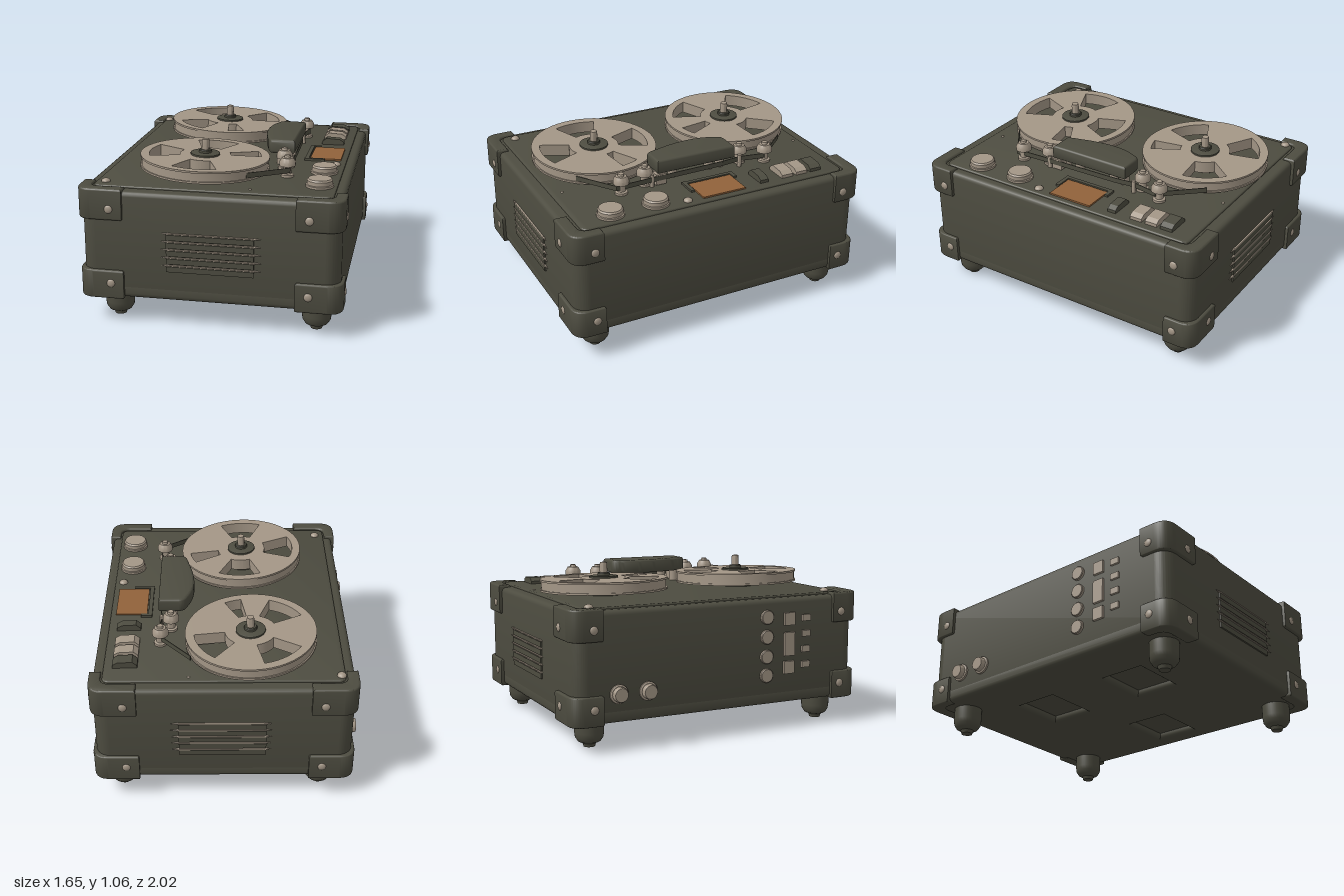
import * as THREE from 'three';
import { toCreasedNormals } from 'three/addons/utils/BufferGeometryUtils.js';

const mat = (name, color) => Object.assign(new THREE.MeshStandardMaterial({ color }), { name });

export function createModel() {
  const model = new THREE.Group();
  model.name = 'reelTapeRecorder';
  const olive = mat('olive', 0x4d4c40);
  const cream = mat('cream', 0xa39686);
  const amber = mat('amber', 0x91623a);
  const DECK = 0.855;

  const add = (name, geo, material, x = 0, y = 0, z = 0, parent = model) => {
    const mesh = new THREE.Mesh(geo, material);
    mesh.name = name;
    mesh.position.set(x, y, z);
    parent.add(mesh);
    return mesh;
  };
  const box = (name, m, w, h, d, x, y, z) => add(name, new THREE.BoxGeometry(w, h, d), m, x, y, z);

  // Plan outline (x, z) raised between two heights
  const slab = (shape, y0, y1, b = 0) => {
    const geo = new THREE.ExtrudeGeometry(shape, {
      depth: y1 - y0 - 2 * b, bevelEnabled: b > 0, bevelThickness: b, bevelSize: b,
      bevelOffset: -b, bevelSegments: 4, curveSegments: 24,
    });
    geo.rotateX(Math.PI / 2).translate(0, y1 - b, 0);
    return toCreasedNormals(geo, 0.6);
  };
  const roundRect = (w, d, r) => {
    const s = new THREE.Shape();
    s.absarc(w - r, d - r, r, 0, Math.PI / 2);
    s.absarc(r - w, d - r, r, Math.PI / 2, Math.PI);
    s.absarc(r - w, r - d, r, Math.PI, Math.PI * 1.5);
    s.absarc(w - r, r - d, r, Math.PI * 1.5, Math.PI * 2);
    return s;
  };
  const lathe = (pts, seg = 32) =>
    toCreasedNormals(new THREE.LatheGeometry(pts.map((p) => new THREE.Vector2(...p)), seg), 0.6);
  const knob = (r, h) => lathe([[0, 0], [r, 0], [r, h * 0.8], [r * 0.9, h], [0, h]]);

  // Case: base pan with three rectangular recesses, main body, deck plate
  const pan = roundRect(0.785, 0.98, 0.09);
  for (const [x, z] of [[0.47, 0], [-0.25, -0.36], [-0.25, 0.36]]) {
    const hole = new THREE.Path();
    hole.moveTo(x - 0.17, z - 0.14);
    hole.lineTo(x - 0.17, z + 0.14);
    hole.lineTo(x + 0.17, z + 0.14);
    hole.lineTo(x + 0.17, z - 0.14);
    hole.closePath();
    pan.holes.push(hole);
  }
  add('basePan', slab(pan, 0.17, 0.27, 0.03), olive);
  add('caseBody', slab(roundRect(0.785, 0.98, 0.09), 0.21, 0.842, 0.03), olive);
  add('deckPlate', slab(roundRect(0.725, 0.9, 0.04), 0.8, DECK, 0.008), olive);

  // Corner guards with rivets, and feet
  const rivet = new THREE.SphereGeometry(0.026, 16, 10);
  const foot = lathe([[0, 0], [0.035, 0], [0.042, 0.022], [0.07, 0.035], [0.086, 0.06], [0.09, 0.09], [0.09, 0.19]]);
  for (const sx of [-1, 1]) {
    for (const sz of [-1, 1]) {
      const s = new THREE.Shape();
      s.moveTo(0.52 * sx, sz);
      s.lineTo(0.71 * sx, sz);
      s.quadraticCurveTo(0.805 * sx, sz, 0.805 * sx, 0.9 * sz);
      s.lineTo(0.805 * sx, 0.8 * sz);
      s.lineTo(0.735 * sx, 0.8 * sz);
      s.lineTo(0.735 * sx, 0.86 * sz);
      s.quadraticCurveTo(0.735 * sx, 0.92 * sz, 0.67 * sx, 0.92 * sz);
      s.lineTo(0.52 * sx, 0.92 * sz);
      add('upperCornerGuard', slab(s, 0.665, 0.858, 0.012), olive);
      add('lowerCornerGuard', slab(s, 0.164, 0.345, 0.012), olive);
      for (const y of [0.735, 0.265]) {
        add('guardRivet', rivet, cream, 0.6 * sx, y, 0.998 * sz).scale.z = 0.45;
        add('guardRivet', rivet, cream, 0.803 * sx, y, 0.86 * sz).scale.x = 0.45;
      }
      add('foot', foot, olive, sx > 0 ? 0.635 : -0.6, 0, 0.815 * sz);
    }
  }

  // Louvred vents on the front and back
  for (const sz of [-1, 1]) {
    for (let i = 0; i < 5; i++) {
      const y = 0.6 - i * 0.05;
      box('ventLouvre', olive, 0.53, 0.034, 0.02, 0.01, y - 0.024, 0.98 * sz);
      box('ventEdge', cream, 0.55, 0.007, 0.024, 0.015, y, 0.98 * sz);
      for (const x of [-0.265, 0.3]) {
        const tip = add('ventTip', new THREE.ConeGeometry(0.008, 0.05, 8), cream, x, y, 0.985 * sz);
        tip.rotation.z = x < 0 ? Math.PI / 2 : -Math.PI / 2;
      }
    }
  }

  // Reels: flanges and drum with sector windows, dark hub, spindle
  const reelShape = (r, windows) => {
    const s = new THREE.Shape();
    s.absarc(0, 0, r, 0, Math.PI * 2);
    for (const [deg, half] of windows) {
      const a = -THREE.MathUtils.degToRad(deg), h = THREE.MathUtils.degToRad(half);
      const p = new THREE.Path();
      p.absarc(0, 0, 0.35, a - h, a + h, false);
      p.absarc(0, 0, 0.16, a + h, a - h, true);
      p.closePath();
      s.holes.push(p);
    }
    return s;
  };
  const addReel = (x, z, windows) => {
    const reel = new THREE.Group();
    reel.name = 'reel';
    reel.position.set(x, DECK, z);
    reel.rotation.z = -0.035;
    model.add(reel);
    add('lowerFlange', slab(reelShape(0.405, windows), 0.028, 0.04), cream, 0, 0, 0, reel);
    add('reelDrum', slab(reelShape(0.397, windows), 0.04, 0.092), cream, 0, 0, 0, reel);
    add('upperFlange', slab(reelShape(0.405, windows), 0.092, 0.104), cream, 0, 0, 0, reel);
    add('reelPedestal', new THREE.CylinderGeometry(0.12, 0.12, 0.04, 32), olive, 0, 0.012, 0, reel);
    add('hub', knob(0.092, 0.018), olive, 0, 0.1, 0, reel);
    add('spindleCollar', knob(0.04, 0.025), olive, 0, 0.112, 0, reel);
    add('spindle', knob(0.024, 0.09), cream, 0, 0.112, 0, reel);
  };
  addReel(-0.17, -0.525, [[28, 23], [125, 23], [227, 22], [288, 9]]);
  addReel(-0.13, 0.465, [[87, 23], [18, 10], [270, 23], [180, 23]]);

  // Head cover with one bowed side, carried on posts
  const cover = new THREE.Shape();
  cover.moveTo(0.41, -0.28);
  cover.lineTo(0.41, 0.265);
  cover.lineTo(0.26, 0.265);
  cover.quadraticCurveTo(0.24, 0.26, 0.225, 0.18);
  cover.quadraticCurveTo(0.15, -0.08, 0.225, -0.23);
  cover.quadraticCurveTo(0.24, -0.28, 0.28, -0.28);
  add('headCover', slab(cover, 0.93, 1.02, 0.018), olive);
  for (const z of [-0.22, -0.14, 0.12, 0.22]) {
    add('headPost', new THREE.CylinderGeometry(0.03, 0.03, 0.09, 20), cream, 0.32, 0.895, z);
  }
  box('tapeHead', cream, 0.06, 0.07, 0.07, 0.38, 0.895, 0.24);

  // Tape guide rollers
  const roller = lathe([[0, 0], [0.04, 0], [0.04, 0.02], [0.026, 0.025], [0.026, 0.07], [0.05, 0.075],
    [0.05, 0.1], [0.035, 0.125], [0, 0.125]]);
  const rollers = [[0.39, -0.515], [0.33, -0.36], [0.355, 0.33], [0.4, 0.51]];
  for (const [x, z] of rollers) {
    add('guideRoller', roller, cream, x, DECK - 0.005, z);
    add('rollerCap', knob(0.02, 0.02), cream, x, 0.97, z);
  }
  for (const [x, z] of [[0.39, -0.33], [0.4, 0.3]]) add('guidePin', knob(0.014, 0.08), cream, x, DECK, z);

  // Tape path from reel to reel
  const tape = [[0.2, -0.74], [0.415, -0.5], [0.385, -0.33], [0.4, -0.2], [0.41, 0.3], [0.42, 0.55], [0.18, 0.715]];
  tape.slice(1).forEach(([x, z], i) => {
    const [px, pz] = tape[i];
    const strip = box('tape', olive, Math.hypot(x - px, z - pz), 0.032, 0.005, (x + px) / 2, 0.905, (z + pz) / 2);
    strip.rotation.y = -Math.atan2(z - pz, x - px);
  });

  // Meter, its frame, and the push keys
  box('meter', amber, 0.2, 0.012, 0.295, 0.59, DECK + 0.004, -0.055);
  box('meterFrameSide', olive, 0.025, 0.02, 0.35, 0.47, DECK + 0.004, -0.055);
  for (const z of [-0.218, 0.11]) box('meterFrameEnd', olive, z > 0 ? 0.13 : 0.07, 0.02, 0.025, z > 0 ? 0.52 : 0.495, DECK + 0.004, z);
  const keyProfile = new THREE.Shape();
  [[-0.075, 0], [0.075, 0], [0.075, 0.022], [0.045, 0.04], [-0.045, 0.045], [-0.075, 0.02]]
    .forEach(([x, y], i) => (i ? keyProfile.lineTo(x, y) : keyProfile.moveTo(x, y)));
  const key = new THREE.ExtrudeGeometry(keyProfile, { depth: 0.08, bevelEnabled: false }).translate(0, 0, -0.04);
  for (const [z, m, w] of [[-0.73, olive, 1], [-0.625, cream, 1], [-0.52, cream, 1], [-0.35, olive, 0.7]]) {
    add('pushKey', key, m, 0.595, DECK - 0.002, z).scale.z = w;
  }

  // Control knobs and deck screws
  for (const [x, z] of [[0.615, 0.38], [0.62, 0.68]]) {
    add('knobSkirt', knob(0.085, 0.02), cream, x, DECK - 0.003, z);
    add('controlKnob', knob(0.078, 0.05), cream, x, DECK, z);
  }
  for (const [x, z, r] of [[0.67, 0.19, 1.1], [-0.7, -0.85, 1.1], [-0.665, 0.82, 1.1], [0.21, -0.86, 0.35], [0.225, 0.83, 0.35]]) {
    add('deckScrew', rivet, cream, x, DECK, z).scale.set(r, r * 0.7, r);
  }

  // Side controls: two knobs, a column of sockets, switches and small keys
  const side = (name, r, h, y, z) => {
    add(name, knob(r, h), cream, -0.78, y, z).rotation.z = Math.PI / 2;
  };
  for (const z of [-0.7, -0.51]) {
    side('sideKnobBase', 0.058, 0.02, 0.345, z);
    side('sideKnob', 0.046, 0.052, 0.345, z);
  }
  for (const y of [0.36, 0.48, 0.605, 0.73]) side('socket', 0.045, 0.024, y, 0.31);
  for (const [y, h] of [[0.71, 0.08], [0.55, 0.15], [0.4, 0.08]]) box('sideSwitch', cream, 0.04, h, 0.075, -0.782, y, 0.475);
  for (const y of [0.71, 0.61, 0.51, 0.41]) box('sideKey', cream, 0.035, 0.04, 0.06, -0.782, y, 0.6);

  return model;
}
